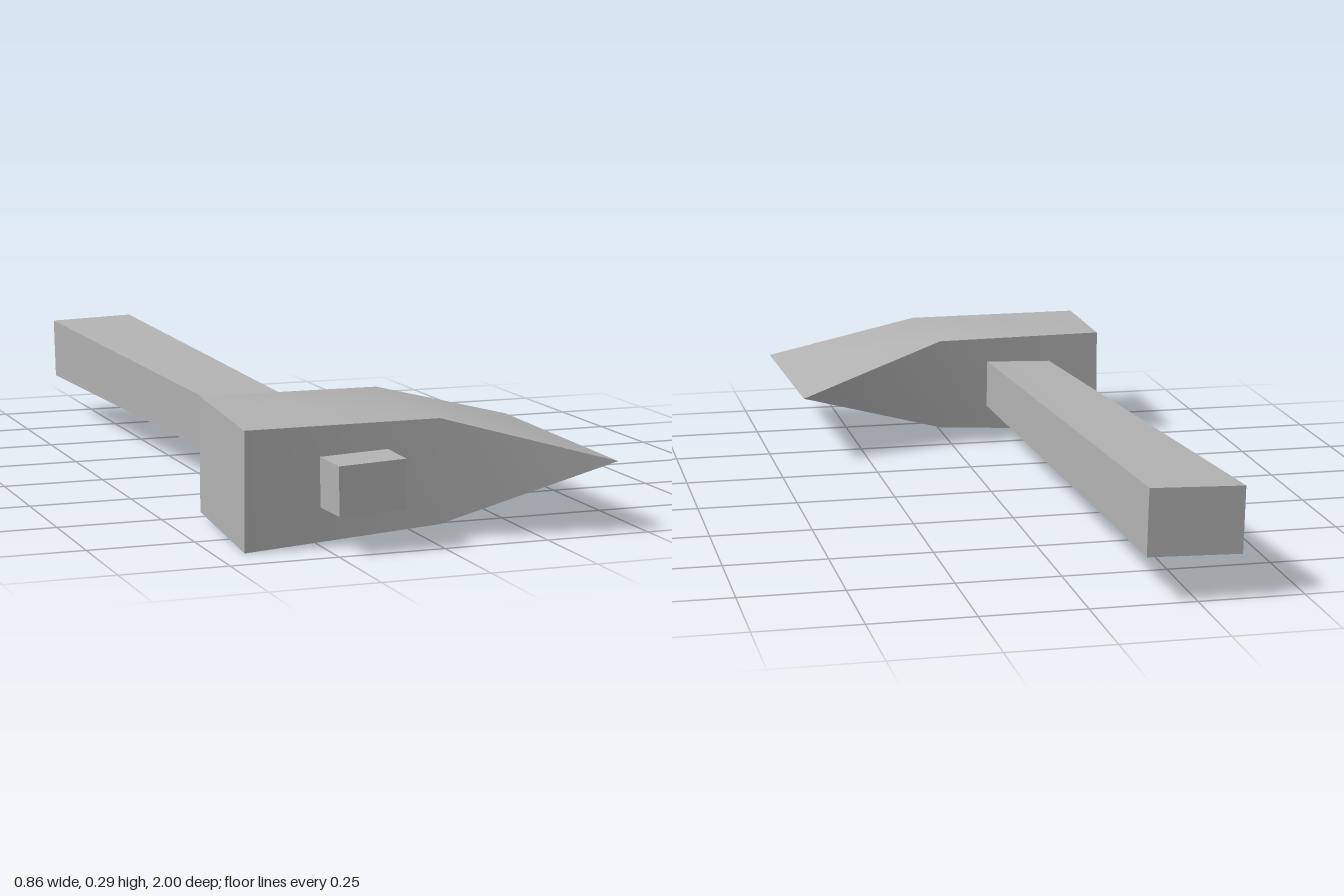
import * as THREE from 'three';
import { toCreasedNormals } from 'three/addons/utils/BufferGeometryUtils.js';

// Skins four-cornered sections, each counter-clockwise seen from the far end, and caps both ends.
function loft(sections) {
  const positions = [];
  const tri = (a, b, c) => {
    const [p, q, r] = [a, b, c].map((v) => new THREE.Vector3(...v));
    const area = q.clone().sub(p).cross(r.clone().sub(p)).length();
    if (area > 1e-6) positions.push(...a, ...b, ...c); // drop collapsed corners
  };
  const quad = (a, b, c, d) => { tri(a, b, c); tri(a, c, d); };

  for (let s = 0; s < sections.length - 1; s++) {
    const a = sections[s], b = sections[s + 1];
    for (let i = 0; i < 4; i++) {
      const j = (i + 1) % 4;
      quad(a[i], a[j], b[j], b[i]);
    }
  }
  const first = sections[0], last = sections[sections.length - 1];
  quad(first[3], first[2], first[1], first[0]);
  quad(...last);

  const geometry = new THREE.BufferGeometry();
  geometry.setAttribute('position', new THREE.Float32BufferAttribute(positions, 3));
  return toCreasedNormals(geometry, 0.55);
}

export function createModel() {
  const group = new THREE.Group();
  const grey = new THREE.MeshStandardMaterial({ color: 0xb3b3b3 });
  grey.name = 'plain grey';

  const add = (name, sections) => {
    const mesh = new THREE.Mesh(loft(sections), grey);
    mesh.name = name;
    group.add(mesh);
  };

  // Axe head: square poll, mid section, then a flared wedge ending in a sharp edge
  add('axeHead', [
    [[-0.412, 0.018, 0.52], [-0.412, 0.29, 0.52], [-0.432, 0.275, 0.897], [-0.432, 0.002, 0.897]],
    [[0.028, 0.047, 0.513], [0.028, 0.287, 0.513], [0.03, 0.275, 0.895], [0.03, 0.033, 0.895]],
    [[0.422, 0.178, 0.382], [0.422, 0.178, 0.382], [0.43, 0.167, 0.982], [0.43, 0.167, 0.982]],
  ]);

  // Handle: straight, tapering from the grip end through the head
  add('handle', [
    [[-0.352, 0.106, -1], [-0.13, 0.112, -1], [-0.134, 0.27, -1], [-0.356, 0.263, -1]],
    [[-0.249, 0.091, 1], [-0.092, 0.097, 1], [-0.093, 0.21, 1], [-0.251, 0.203, 1]],
  ]);

  return group;
}
